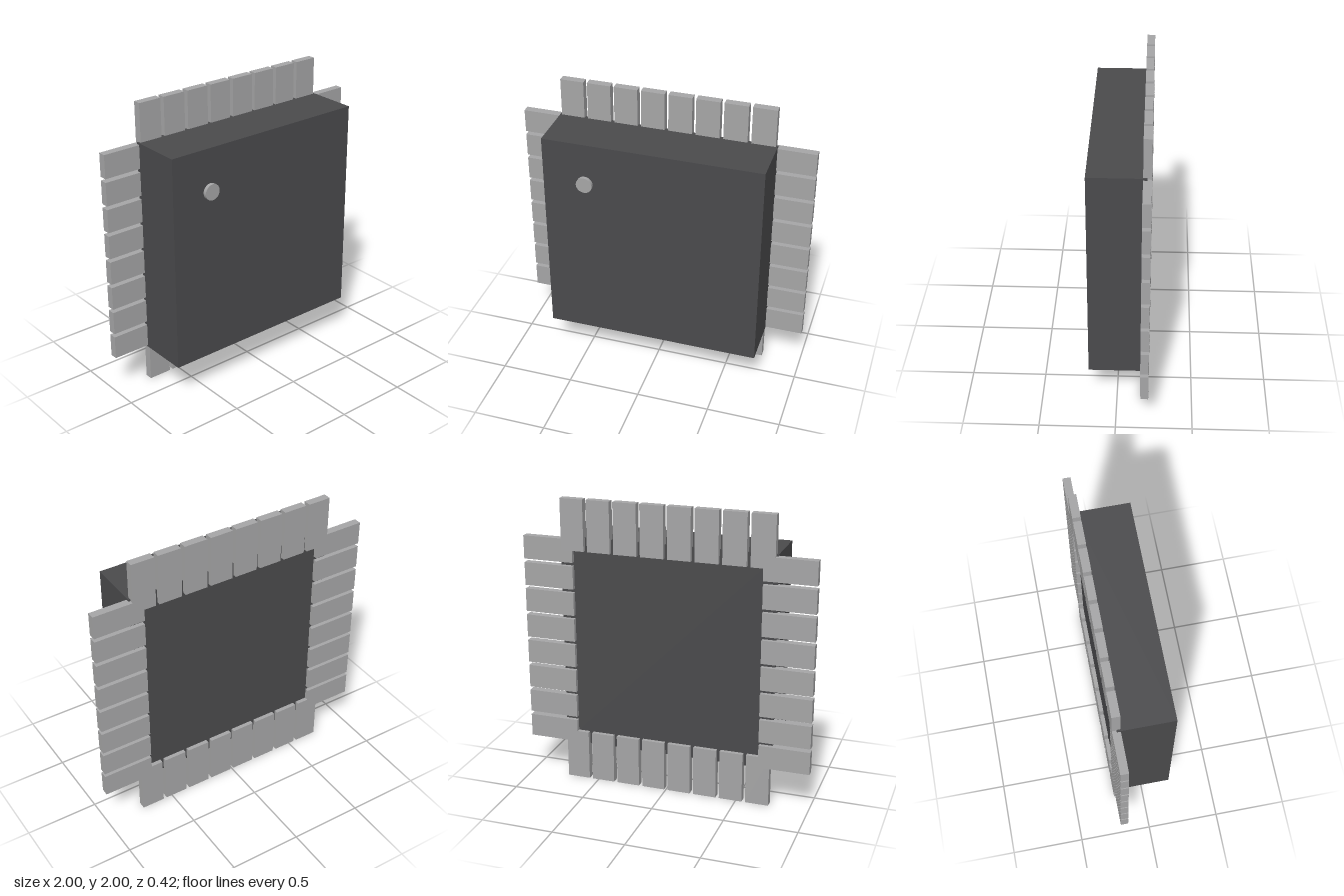
import * as THREE from 'three';

export function createModel() {
  const model = new THREE.Group();
  const casing = new THREE.MeshStandardMaterial({ color: 0x4a4a4c });
  casing.name = 'dark casing';
  const metal = new THREE.MeshStandardMaterial({ color: 0xa5a5a6 });
  metal.name = 'grey metal';

  function add(name, geometry, material, x, y, z) {
    const mesh = new THREE.Mesh(geometry, material);
    mesh.name = name;
    mesh.position.set(x, y, z);
    model.add(mesh);
    return mesh;
  }

  // Square chip body
  add('body', new THREE.BoxGeometry(1.48, 1.48, 0.368), casing, 0, 1, 0.002);

  // Small round orientation marker on the front face
  const marker = add('marker', new THREE.CylinderGeometry(0.055, 0.055, 0.03, 20), metal, -0.45, 1.45, 0.195);
  marker.rotation.x = Math.PI / 2;

  // Eight flat pins on each of the four sides, overlapping the back of the body
  const count = 8, pitch = 0.185, width = 0.16, length = 0.35, thick = 0.053;
  const upright = new THREE.BoxGeometry(width, length, thick);
  const sideways = new THREE.BoxGeometry(length, width, thick);
  const reach = 1 - length / 2, pinZ = -0.184;
  for (let i = 0; i < count; i++) {
    const t = (i - (count - 1) / 2) * pitch;
    add('topPin', upright, metal, t, 1 + reach, pinZ);
    add('bottomPin', upright, metal, t, 1 - reach, pinZ);
    add('leftPin', sideways, metal, reach, 1 + t, pinZ);
    add('rightPin', sideways, metal, -reach, 1 + t, pinZ);
  }
  return model;
}
